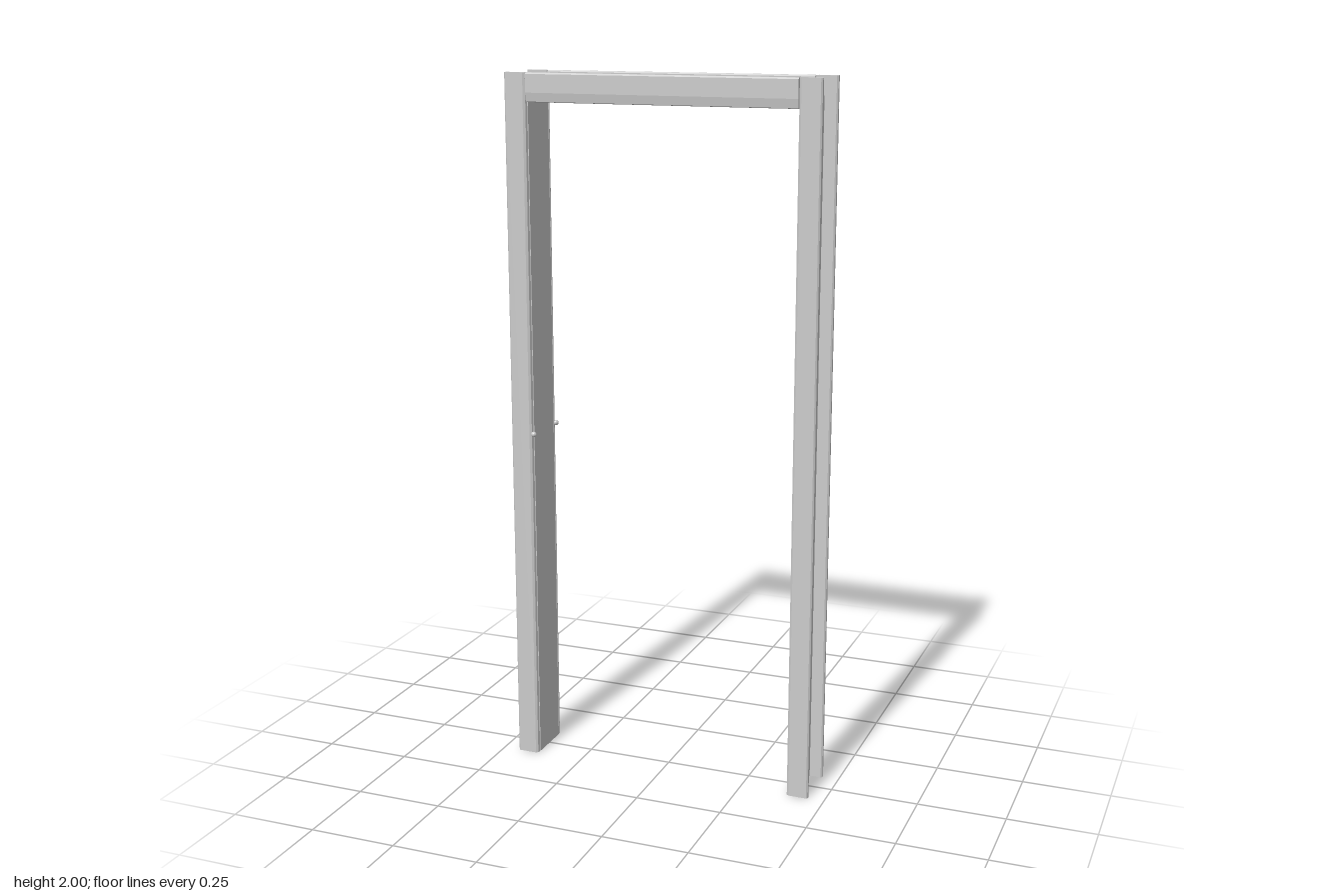
import * as THREE from 'three';

const OPENING = 0.388;   // half width of the clear opening
const BOARD = 0.027;     // lining thickness
const LINING = 0.065;    // half depth of the lining
const HEAD = 1.92;       // underside of the head
const TRIM = 0.016;      // casing thickness
const HEIGHT = 2;

const material = new THREE.MeshStandardMaterial({ color: 0xcccccc, flatShading: true });

// Casing section: u runs away from the opening, v runs away from the lining
function casingShape(width, bevelWidth, bevelDepth, su, sv) {
  const r = 0.004;
  const points = [
    [0, r], [r, 0], [width - r, 0], [width, r],
    [width, TRIM - r], [width - r, TRIM],
    [bevelWidth, TRIM], [r * 0.5, TRIM - bevelDepth],
  ];
  return new THREE.Shape(points.map(([u, v]) => new THREE.Vector2(u * su, v * sv)));
}

const extrude = (shape, depth) =>
  new THREE.ExtrudeGeometry(shape, { depth, bevelEnabled: false });

export function createModel() {
  const group = new THREE.Group();

  const add = (name, geometry, x, y, z) => {
    const mesh = new THREE.Mesh(geometry, material);
    mesh.name = name;
    mesh.position.set(x, y, z);
    group.add(mesh);
  };

  // Lining boards
  const jambHeight = HEAD + BOARD;
  for (const side of [1, -1]) {
    add(side > 0 ? 'leftJamb' : 'rightJamb',
      new THREE.BoxGeometry(BOARD, jambHeight, LINING * 2),
      side * (OPENING + BOARD / 2), jambHeight / 2, 0);
  }
  add('headBoard', new THREE.BoxGeometry(OPENING * 2, BOARD, LINING * 2),
    0, HEAD + BOARD / 2, 0);

  for (const face of [1, -1]) {
    const end = face > 0 ? 'front' : 'back';

    // Upright casings, full height
    for (const side of [1, -1]) {
      const upright = extrude(casingShape(0.064, 0.008, 0.004, side, -face), HEIGHT);
      upright.rotateX(-Math.PI / 2);
      add(end + (side > 0 ? 'LeftCasing' : 'RightCasing'), upright,
        side * OPENING, 0, face * LINING);
    }

    // Head casing, fitted between the uprights
    const head = extrude(casingShape(HEIGHT - HEAD, 0.026, 0.004, 1, face), OPENING * 2);
    // cycle the axes: section u to y, section v to z, length to x
    head.applyMatrix4(new THREE.Matrix4().makeBasis(
      new THREE.Vector3(0, 1, 0), new THREE.Vector3(0, 0, 1), new THREE.Vector3(1, 0, 0)));
    add(end + 'HeadCasing', head, -OPENING, HEAD, face * LINING);

    // Small stud on the inner edge of the right jamb
    add(end + 'Stud', new THREE.SphereGeometry(0.008, 12, 8),
      -OPENING + 0.003, 0.985, face * 0.075);
  }

  return group;
}
